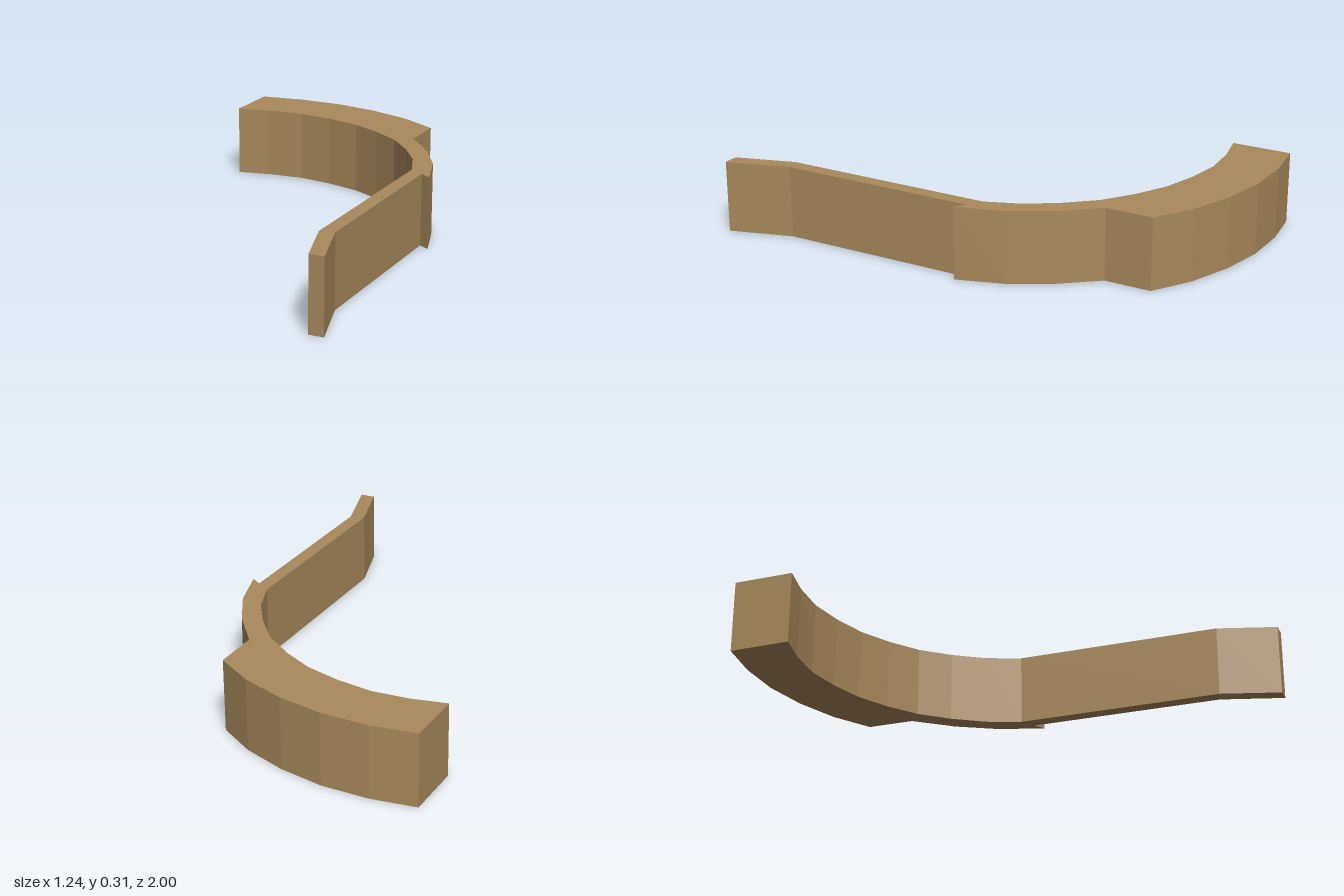
import * as THREE from 'three';

const HEIGHT = 0.305;

// Plan outline as [x, z], grouped by the stretch of wall it belongs to
const thickArcOuter = [[-0.62, -0.975], [-0.43, -1], [-0.23, -0.995], [-0.04, -0.955], [0.145, -0.885], [0.305, -0.785]];
const thinArcOuter = [[0.305, -0.585], [0.43, -0.43], [0.525, -0.26], [0.585, -0.07]];
const straightOuter = [[0.54, -0.1], [0.54, 0.735]];
const flaredEnd = [[0.62, 1], [0.557, 1]];
const straightInner = [[0.48, 0.75], [0.48, -0.14]];
const arcInner = [[0.425, -0.285], [0.34, -0.415], [0.24, -0.53], [0.115, -0.62], [-0.015, -0.69],
  [-0.165, -0.735], [-0.32, -0.76], [-0.475, -0.75], [-0.62, -0.72]];

export function createModel() {
  const wood = new THREE.MeshStandardMaterial({ color: 0xa98a5c });
  wood.name = 'tan';

  const outline = [...thickArcOuter, ...thinArcOuter, ...straightOuter, ...flaredEnd, ...straightInner, ...arcInner];
  const shape = new THREE.Shape(outline.map(([x, z]) => new THREE.Vector2(x, -z)));

  // One continuous solid, raised from the floor plan
  const geometry = new THREE.ExtrudeGeometry(shape, { depth: HEIGHT, bevelEnabled: false });
  geometry.rotateX(-Math.PI / 2);

  const wall = new THREE.Mesh(geometry, wood);
  wall.name = 'curvedWall';

  const model = new THREE.Group();
  model.name = 'hookShapedWall';
  model.add(wall);
  return model;
}
